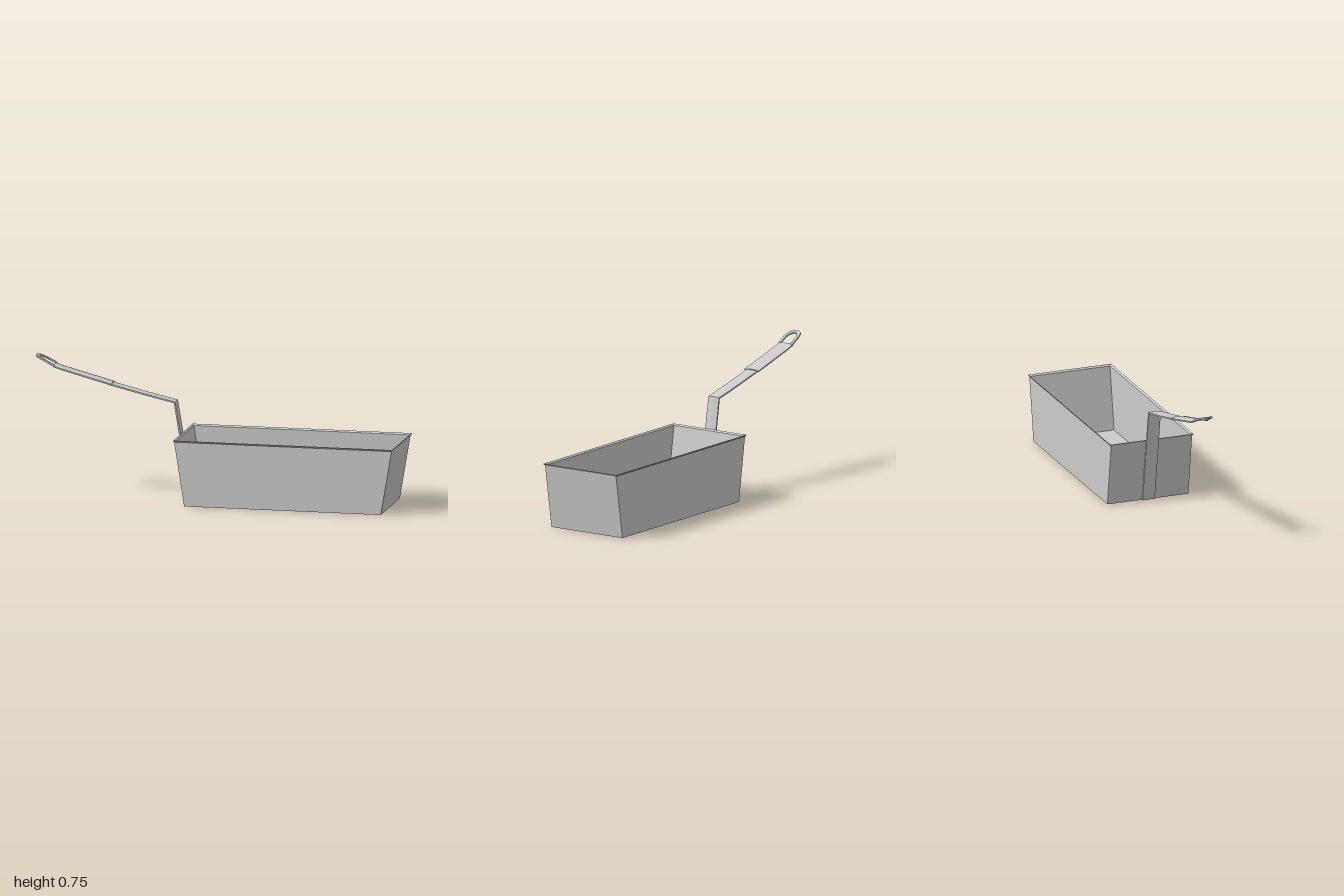
import * as THREE from 'three';
import { toCreasedNormals } from 'three/addons/utils/BufferGeometryUtils.js';

const material = new THREE.MeshStandardMaterial({ color: 0xcccccc });

// Skin a list of equal-length closed rings of Vector3 and cap both ends.
function loft(rings) {
  const pos = [];
  const tri = (...pts) => pts.forEach((p) => pos.push(p.x, p.y, p.z));
  const n = rings[0].length;
  for (let r = 0; r < rings.length - 1; r++) {
    const a = rings[r], b = rings[r + 1];
    for (let i = 0; i < n; i++) {
      const j = (i + 1) % n;
      tri(a[i], a[j], b[j]);
      tri(a[i], b[j], b[i]);
    }
  }
  // Caps are zipped across the ring so thin bent sections stay clean
  const cap = (ring, flip) => {
    for (let i = 0, j = n - 1; i + 1 < j; i++, j--) {
      const quad = [ring[i], ring[i + 1], ring[j - 1], ring[j]];
      if (flip) quad.reverse();
      tri(quad[0], quad[1], quad[2]);
      tri(quad[0], quad[2], quad[3]);
    }
  };
  cap(rings[0], true);
  cap(rings[rings.length - 1], false);
  const geo = new THREE.BufferGeometry();
  geo.setAttribute('position', new THREE.Float32BufferAttribute(pos, 3));
  geo.computeVertexNormals();
  return geo;
}

// Sweep a crowned sheet section along a path in the xy plane.
function strip(path, halfWidth, crown, thickness) {
  const pts = path.map(([x, y]) => new THREE.Vector2(x, y));
  const side = [1, 0.75, 0.35, -0.35, -0.75, -1];
  const section = [
    ...side.map((s) => [s, -crown * s * s]),
    ...side.map((s) => [-s, -crown * s * s - thickness]),
  ];
  const normal = (a, b) => {
    const d = b.clone().sub(a).normalize();
    return new THREE.Vector2(d.y, -d.x);
  };
  const rings = pts.map((p, i) => {
    const n0 = normal(pts[Math.max(i - 1, 0)], pts[Math.max(i, 1)]);
    const last = pts.length - 1;
    const n1 = normal(pts[Math.min(i, last - 1)], pts[Math.min(i + 1, last)]);
    const m = n0.clone().add(n1).normalize();
    m.divideScalar(m.dot(n0));
    return section.map(([s, o]) => new THREE.Vector3(p.x + m.x * o, p.y + m.y * o, s * halfWidth));
  });
  return toCreasedNormals(loft(rings), 0.5);
}

// Rectangular ring at height y
const rect = (x0, x1, z, y) => [
  [x0, z], [x1, z], [x1, -z], [x0, -z],
].map(([x, zz]) => new THREE.Vector3(x, y, zz));

// Hanging loop: outline with a hole, bent to follow the upturned grip end
function loopGeometry() {
  const outline = [[-0.895, 0.045], [-0.95, 0.045], [-0.985, 0.037], [-1, 0.016]];
  const hole = [[-0.895, 0.031], [-0.945, 0.031], [-0.97, 0.022], [-0.983, 0.008]];
  const mirrored = (pts) => [...pts, ...pts.map(([x, z]) => [x, -z]).reverse()];
  const shape = new THREE.Shape(
    [...mirrored(outline), ...mirrored(hole).reverse()].map(([x, z]) => new THREE.Vector2(x, z))
  );
  const geo = new THREE.ExtrudeGeometry(shape, { depth: 0.01, bevelEnabled: false });
  geo.rotateX(-Math.PI / 2);
  const p = geo.attributes.position;
  for (let i = 0; i < p.count; i++) {
    const t = (-0.895 - p.getX(i)) / 0.105;
    p.setY(i, p.getY(i) + 0.689 + 0.06 * t - 0.01 * t * t);
  }
  return toCreasedNormals(geo, 0.5);
}

export function createModel() {
  const group = new THREE.Group();
  const add = (name, geo) => {
    const mesh = new THREE.Mesh(geo, material);
    mesh.name = name;
    group.add(mesh);
  };

  // Open tub with sloping ends and a small flared rim
  add('basket', loft([
    rect(-0.141, 0.934, 0.232, 0),
    rect(-0.196, 0.993, 0.232, 0.347),
    rect(-0.2, 1, 0.239, 0.355),
    rect(-0.198, 0.998, 0.237, 0.357),
    rect(-0.19, 0.988, 0.228, 0.349),
    rect(-0.135, 0.928, 0.228, 0.006),
  ]));

  // Bent strip running up the end wall and out to the grip
  add('handleArm', strip([[-0.143, 0.002], [-0.232, 0.528], [-0.41, 0.568], [-0.6, 0.614]], 0.035, 0.003, 0.008));

  // Wider grip with turned-down edges
  add('grip', strip([[-0.58, 0.615], [-0.74, 0.657], [-0.86, 0.689], [-0.897, 0.701]], 0.045, 0.006, 0.007));

  add('hangingLoop', loopGeometry());
  return group;
}
